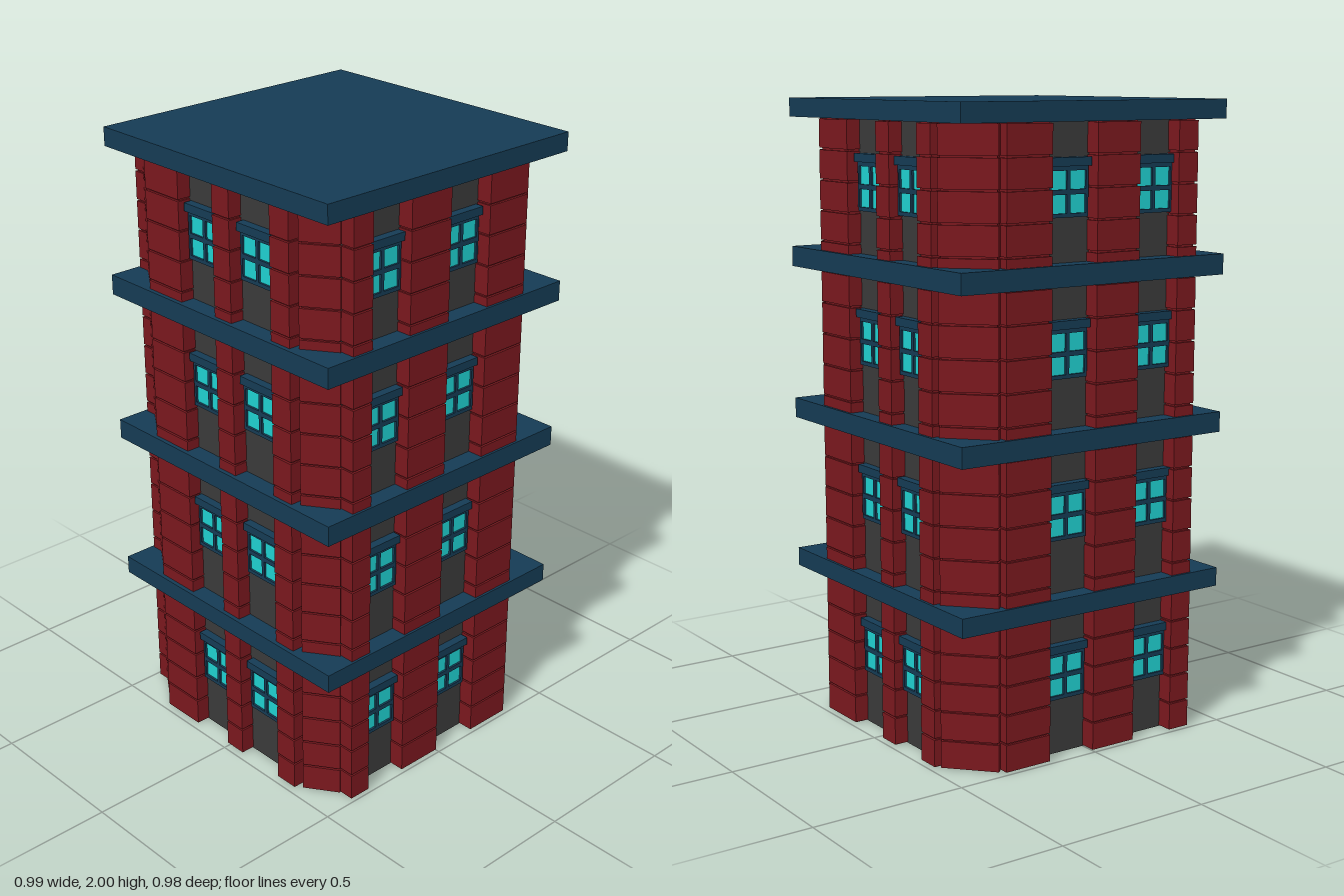
import * as THREE from 'three';

const mat = (color) => new THREE.MeshStandardMaterial({ color, flatShading: true });

export function createModel() {
  const model = new THREE.Group();
  model.name = 'towerBlock';
  const red = mat(0x7a181e), blue = mat(0x153b54), cyan = mat(0x1fd0d0), grey = mat(0x3a3a3a);

  const box = (parent, name, material, w, h, d, x, y, z) => {
    const mesh = new THREE.Mesh(new THREE.BoxGeometry(w, h, d), material);
    mesh.name = name;
    mesh.position.set(x, y, z);
    parent.add(mesh);
    return mesh;
  };

  // storey boundaries (underside of each slab) and window sill heights
  const levels = [0, 0.455, 0.96, 1.46, 1.94];
  const slabTops = [0.515, 1.025, 1.525, 2];
  const sills = [0.18, 0.685, 1.18, 1.66];

  // eight-sided core wall
  const outline = [
    [-0.33, 0.43], [0.33, 0.43], [0.435, 0.38], [0.435, -0.335],
    [0.33, -0.435], [-0.33, -0.435], [-0.435, -0.335], [-0.435, 0.38],
  ].map(([x, z]) => new THREE.Vector2(x, -z));
  const core = new THREE.Mesh(
    new THREE.ExtrudeGeometry(new THREE.Shape(outline), { depth: 1.95, bevelEnabled: false }), grey);
  core.geometry.rotateX(-Math.PI / 2);
  core.name = 'coreWall';
  model.add(core);

  // floor slabs and roof
  slabTops.forEach((top, i) => {
    const h = top - levels[i + 1];
    box(model, i === 3 ? 'roof' : 'floorSlab', blue, 0.99, h, 0.98, 0, top - h / 2, 0);
  });

  // pilaster of stacked blocks; its outer face runs from (x1, z1) to (x2, z2)
  const pilaster = (name, x1, z1, x2, z2) => {
    const dx = x2 - x1, dz = z2 - z1, w = Math.hypot(dx, dz);
    const group = new THREE.Group();
    group.name = name;
    group.position.set((x1 + x2) / 2, 0, (z1 + z2) / 2);
    group.rotation.y = Math.atan2(-dz, dx);
    model.add(group);
    box(group, 'mortar', red, w - 0.012, 1.95, 0.06, 0, 0.975, -0.038);
    for (let s = 0; s < 4; s++) {
      const pitch = (levels[s + 1] - levels[s]) / 5;
      for (let k = 0; k < 5; k++)
        box(group, 'block', red, w, pitch - 0.006, 0.065, 0, levels[s] + pitch * (k + 0.5), -0.0325);
    }
  };

  // front and back pilasters
  for (const [a, b] of [[-0.32, -0.165], [-0.01, 0.065], [0.24, 0.32]])
    pilaster('frontPilaster', a, 0.476, b, 0.476);
  for (const [a, b] of [[0.32, 0.148], [-0.022, -0.097], [-0.25, -0.325]])
    pilaster('backPilaster', a, -0.481, b, -0.481);
  // side pilasters
  for (const [a, b] of [[0.385, 0.31], [0.16, 0], [-0.165, -0.328]]) {
    pilaster('leftPilaster', 0.487, a, 0.487, b);
    pilaster('rightPilaster', -0.487, b, -0.487, a);
  }
  // slanted corners
  pilaster('cornerPilaster', 0.34, 0.458, 0.44, 0.39);
  pilaster('cornerPilaster', -0.44, 0.39, -0.34, 0.458);
  pilaster('cornerPilaster', 0.472, -0.345, 0.34, -0.468);
  pilaster('cornerPilaster', -0.34, -0.468, -0.472, -0.345);

  // window frame with four openings
  const rect = (P, x, y, w, h) => {
    const p = new P();
    p.moveTo(x, y).lineTo(x + w, y).lineTo(x + w, y + h).lineTo(x, y + h).closePath();
    return p;
  };
  const frameShape = rect(THREE.Shape, -0.072, 0, 0.144, 0.16);
  for (const x of [-0.064, 0.006])
    for (const y of [0.012, 0.082]) frameShape.holes.push(rect(THREE.Path, x, y, 0.058, 0.055));
  const frameGeo = new THREE.ExtrudeGeometry(frameShape, { depth: 0.018, bevelEnabled: false });

  // one wall of windows: local x offsets, wall distance and facing angle
  const windows = (name, angle, dist, offsets) => {
    const wall = new THREE.Group();
    wall.name = name;
    wall.rotation.y = angle;
    model.add(wall);
    for (const x of offsets)
      for (const y of sills) {
        const win = new THREE.Group();
        win.name = 'window';
        win.position.set(x, y, dist);
        const frame = new THREE.Mesh(frameGeo, blue);
        frame.name = 'windowFrame';
        win.add(frame);
        box(win, 'glass', cyan, 0.135, 0.14, 0.01, 0, 0.077, 0.006);
        box(win, 'lintel', blue, 0.154, 0.026, 0.03, 0, 0.163, 0.013);
        wall.add(win);
      }
  };
  windows('frontWindows', 0, 0.43, [-0.083, 0.153]);
  windows('backWindows', Math.PI, 0.435, [-0.06, 0.174]);
  windows('leftWindows', Math.PI / 2, 0.435, [-0.24, 0.082]);
  windows('rightWindows', -Math.PI / 2, 0.435, [0.24, -0.082]);

  return model;
}
